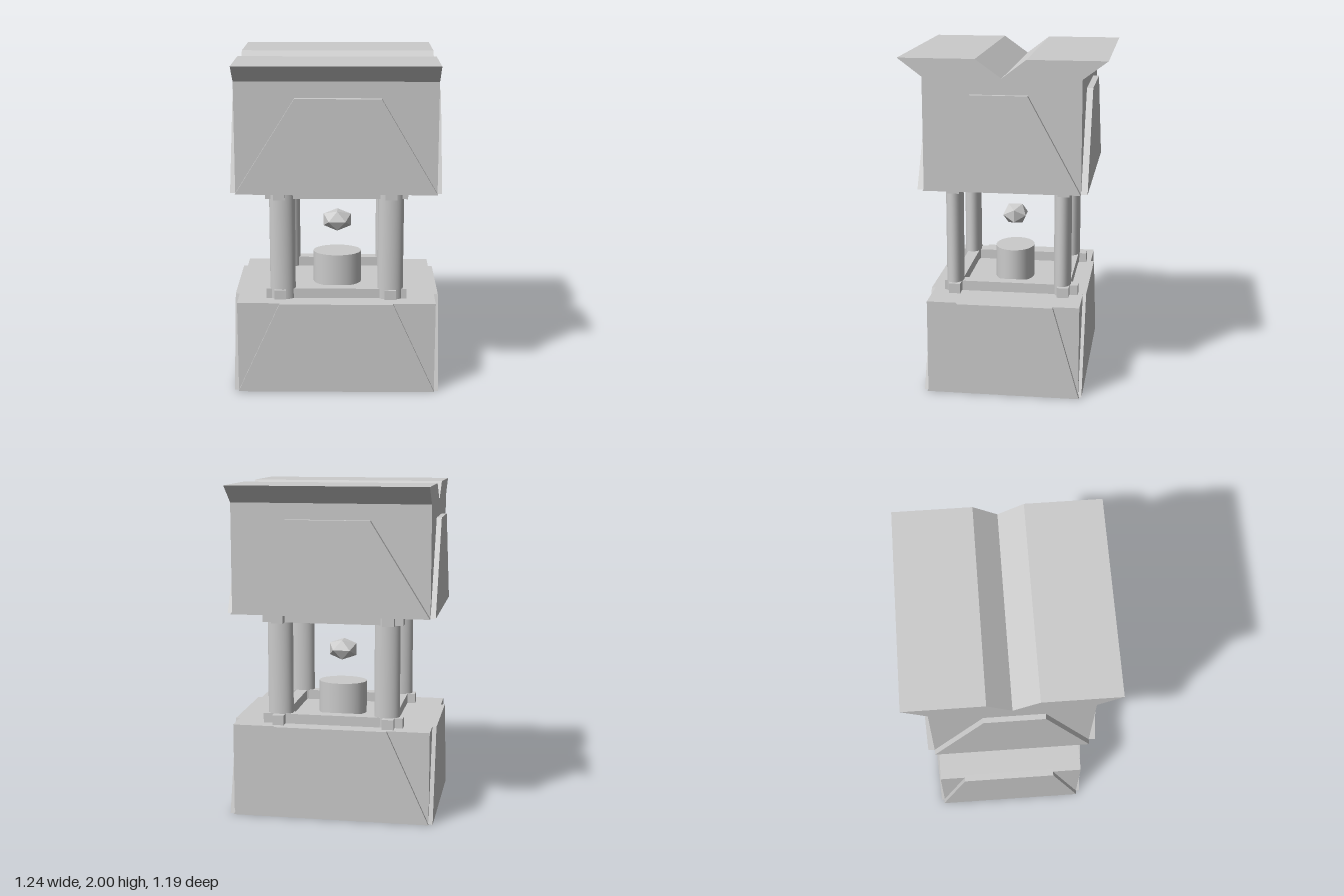
import * as THREE from 'three';

const smooth = new THREE.MeshStandardMaterial({ color: 0xcccccc });
const faceted = new THREE.MeshStandardMaterial({ color: 0xcccccc, flatShading: true });

export function createModel() {
  const model = new THREE.Group();

  function add(name, geometry, material = faceted, parent = model) {
    const mesh = new THREE.Mesh(geometry, material);
    mesh.name = name;
    parent.add(mesh);
    return mesh;
  }

  // Box given by its lower and upper corners
  function box(name, a, b, parent) {
    const g = new THREE.BoxGeometry(b[0] - a[0], b[1] - a[1], b[2] - a[2]);
    g.translate((a[0] + b[0]) / 2, (a[1] + b[1]) / 2, (a[2] + b[2]) / 2);
    return add(name, g, faceted, parent);
  }

  // Upright elliptical cylinder
  function drum(name, x, z, rx, rz, y0, y1) {
    const g = new THREE.CylinderGeometry(1, 1, y1 - y0, 32);
    g.scale(rx, 1, rz);
    g.translate(x, (y0 + y1) / 2, z);
    return add(name, g, smooth);
  }

  const prism = (points, depth) => new THREE.ExtrudeGeometry(
    new THREE.Shape(points.map(([x, y]) => new THREE.Vector2(x, y))),
    { depth, bevelEnabled: false });

  // Raised trapezoid plate, turned to face one of the four sides
  function plate(name, bottom, top, y0, y1, inner, outer, angle) {
    const g = prism([[bottom[0], y0], [bottom[1], y0], [top[1], y1], [top[0], y1]], outer - inner);
    g.translate(0, 0, inner);
    g.rotateY(angle);
    add(name, g);
  }

  // Lower block
  box('baseBlock', [-0.595, 0, -0.455], [0.595, 0.56, 0.45]);
  plate('baseFrontPlate', [-0.595, 0.595], [-0.34, 0.34], 0, 0.56, 0.44, 0.472, 0);
  plate('baseBackPlate', [-0.595, 0.595], [-0.34, 0.34], 0, 0.56, 0.44, 0.475, Math.PI);
  plate('baseLeftPlate', [-0.45, 0.46], [-0.27, 0.30], 0, 0.56, 0.58, 0.62, Math.PI / 2);
  plate('baseRightPlate', [-0.46, 0.45], [-0.30, 0.27], 0, 0.56, 0.58, 0.62, -Math.PI / 2);

  // Upper block: flared top edges with a V groove, one profile run along x
  const roof = prism([
    [-0.455, 1.24], [0.455, 1.24], [0.455, 1.895], [0.597, 2],
    [0.14, 2], [0, 1.893], [-0.15, 2], [-0.595, 2], [-0.455, 1.895],
  ], 1.18);
  roof.translate(0, 0, -0.59);
  roof.rotateY(Math.PI / 2);
  add('roofBlock', roof);
  plate('roofFrontPlate', [-0.59, 0.59], [-0.24, 0.26], 1.24, 1.8, 0.445, 0.492, 0);
  plate('roofBackPlate', [-0.59, 0.59], [-0.26, 0.24], 1.24, 1.8, 0.445, 0.492, Math.PI);
  plate('roofLeftPlate', [-0.455, 0.455], [-0.182, 0.15], 1.24, 1.8, 0.58, 0.617, Math.PI / 2);
  plate('roofRightPlate', [-0.455, 0.455], [-0.16, 0.182], 1.24, 1.8, 0.58, 0.62, -Math.PI / 2);

  // Crossing rails that hold the posts, at the floor and the ceiling
  for (const [name, y0, y1] of [['floorRails', 0.55, 0.62], ['ceilingRails', 1.18, 1.25]]) {
    const rails = new THREE.Group();
    rails.name = name;
    model.add(rails);
    for (const z of [-0.34, 0.315]) box('crossRail', [-0.425, y0, z - 0.035], [0.425, y1, z + 0.035], rails);
    for (const x of [-0.34, 0.325]) box('sideRail', [x - 0.035, y0, -0.425], [x + 0.035, y1, 0.385], rails);
  }

  // Four posts
  for (const x of [-0.325, 0.325]) {
    for (const z of [-0.33, 0.323]) drum('post', x, z, 0.077, 0.052, 0.55, 1.25);
  }

  // Pedestal, the matching disc above it and the floating gem
  drum('pedestal', 0, 0, 0.15, 0.12, 0.55, 0.76);
  drum('ceilingDisc', 0, 0, 0.15, 0.12, 1.15, 1.25);
  const gem = new THREE.IcosahedronGeometry(1, 0);
  gem.rotateY(Math.PI / 2);
  gem.scale(0.1, 0.072, 0.083);
  gem.translate(0, 0.96, 0);
  add('gem', gem);

  return model;
}
